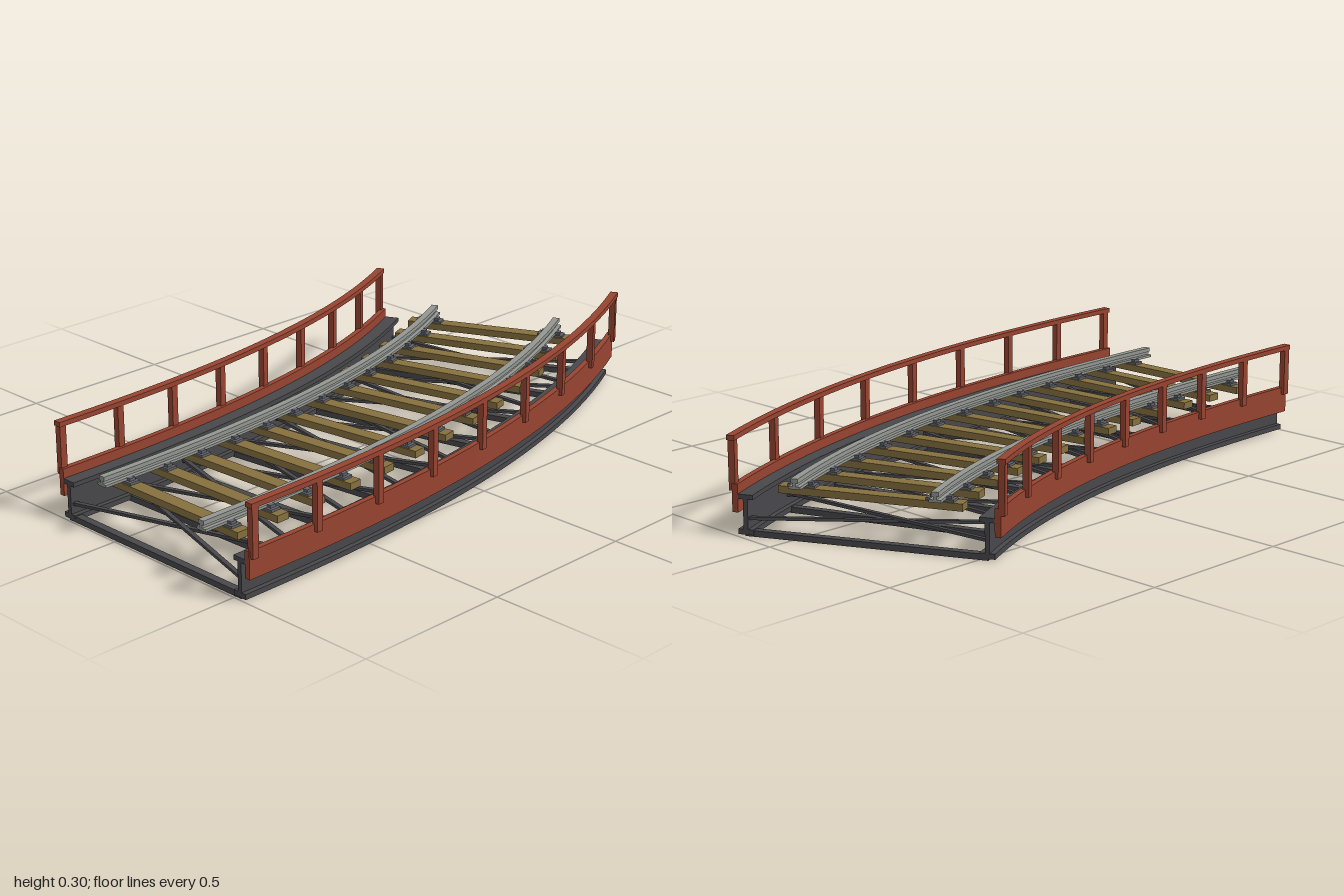
import * as THREE from 'three';
import { toCreasedNormals } from 'three/addons/utils/BufferGeometryUtils.js';

const LENGTH = 1.867, STEPS = 400;

// Centreline: the heading tightens steadily from 0 to 27 degrees
const heading = (t) => THREE.MathUtils.degToRad(12.6 * t + 14.4 * t * t);
const path = [{ x: 0.157, z: 0.995, a: 0 }];
for (let i = 1; i <= STEPS; i++) {
  const p = path[i - 1], mid = heading((i - 0.5) / STEPS), d = LENGTH / STEPS;
  path.push({ x: p.x - Math.sin(mid) * d, z: p.z - Math.cos(mid) * d, a: heading(i / STEPS) });
}
const station = (t) => path[Math.round(THREE.MathUtils.clamp(t, 0, 1) * STEPS)];

// Point at fraction t along the track, u to the side, y up
function at(t, u, y) {
  const p = station(t);
  return new THREE.Vector3(p.x + Math.cos(p.a) * u, y, p.z - Math.sin(p.a) * u);
}

// Sweep a closed (side, height) profile along the whole curve, with end caps
function sweep(profile, segments = 25) {
  let pts = profile.map(([u, y]) => new THREE.Vector2(u, y));
  if (THREE.ShapeUtils.isClockWise(pts)) pts = pts.reverse();
  const n = pts.length, pos = [], index = [];
  for (let i = 0; i <= segments; i++)
    for (const p of pts) pos.push(...at(i / segments, p.x, p.y).toArray());
  for (let i = 0; i < segments; i++)
    for (let j = 0; j < n; j++) {
      const k = (j + 1) % n, a = i * n + j, b = i * n + k, c = b + n, d = a + n;
      index.push(a, d, c, a, c, b);
    }
  const end = segments * n;
  for (const [a, b, c] of THREE.ShapeUtils.triangulateShape(pts, []))
    index.push(a, b, c, end + a, end + c, end + b);
  const geo = new THREE.BufferGeometry();
  geo.setAttribute('position', new THREE.Float32BufferAttribute(pos, 3));
  geo.setIndex(index);
  return toCreasedNormals(geo, 0.5);
}

const rect = (u0, u1, y0, y1) => [[u0, y0], [u1, y0], [u1, y1], [u0, y1]];

// I-shaped profile: foot, web and head
function iProfile(u, y0, y1, y2, y3, foot, web, head) {
  const f = foot / 2, w = web / 2, h = head / 2;
  return [[-f, y0], [f, y0], [f, y1], [w, y1], [w, y2], [h, y2], [h, y3],
    [-h, y3], [-h, y2], [-w, y2], [-w, y1], [-f, y1]].map(([x, y]) => [x + u, y]);
}

export function createModel() {
  const model = new THREE.Group();
  model.name = 'curvedRailwayBridge';
  const mat = (name, color) => {
    const m = new THREE.MeshStandardMaterial({ color });
    m.name = name;
    return m;
  };
  const red = mat('redPaint', 0x984431);
  const steel = mat('darkSteel', 0x48484c);
  const railGrey = mat('railSteel', 0x939691);
  const wood = mat('timber', 0x86703f);
  const plateGrey = mat('plateSteel', 0x62656c);

  const add = (name, geo, material) => {
    const m = new THREE.Mesh(geo, material);
    m.name = name;
    model.add(m);
    return m;
  };
  // Box turned to follow the track
  const trackBox = (name, t, u, y, size, material) => {
    const m = add(name, new THREE.BoxGeometry(...size), material);
    m.position.copy(at(t, u, y));
    m.rotation.y = station(t).a;
  };
  // Straight bar between two points
  const bar = (name, a, b, width, height) => {
    const m = add(name, new THREE.BoxGeometry(width, height, a.distanceTo(b)), steel);
    m.position.copy(a).lerp(b, 0.5);
    m.lookAt(b);
  };

  for (const side of [-1, 1]) {
    // Main girders, rails, fascia boards and handrails
    add('girder', sweep(iProfile(side * 0.362, 0.006, 0.022, 0.111, 0.125, 0.046, 0.014, 0.046)), steel);
    add('rail', sweep(iProfile(side * 0.21, 0.154, 0.162, 0.172, 0.185, 0.036, 0.01, 0.022)), railGrey);
    add('fascia', sweep(rect(side * 0.384, side * 0.402, 0.07, 0.154)), red);
    add('handrail', sweep(rect(side * 0.39, side * 0.415, 0.281, 0.296)), red);
    for (let i = 0; i < 9; i++)
      trackBox('railingPost', 0.008 + 0.984 * i / 8, side * 0.403, 0.207, [0.02, 0.15, 0.022], red);
  }

  // Bottom struts and crossed bracing in eight panels
  const PANELS = 8;
  for (let i = 0; i <= PANELS; i++) {
    const t = THREE.MathUtils.clamp(i / PANELS, 0.008, 0.992);
    bar('crossStrut', at(t, -0.365, 0.01), at(t, 0.365, 0.01), 0.024, 0.018);
    if (i === PANELS) continue;
    const next = Math.min((i + 1) / PANELS, 0.992);
    bar('diagonalBrace', at(t, -0.357, 0.052), at(next, 0.357, 0.052), 0.014, 0.009);
    bar('diagonalBrace', at(t, 0.357, 0.058), at(next, -0.357, 0.058), 0.014, 0.009);
  }

  // Sleepers with rail plates and clips
  for (let i = 0; i < 13; i++) {
    const t = (0.088 + 0.1433 * i) / LENGTH;
    trackBox('sleeper', t, 0, 0.136, [0.56, 0.022, 0.044], wood);
    for (const side of [-1, 1]) {
      trackBox('railPlate', t, side * 0.21, 0.1505, [0.084, 0.008, 0.036], plateGrey);
      for (const edge of [-1, 1])
        trackBox('railClip', t, side * 0.21 + edge * 0.025, 0.158, [0.014, 0.01, 0.02], plateGrey);
    }
  }
  return model;
}
